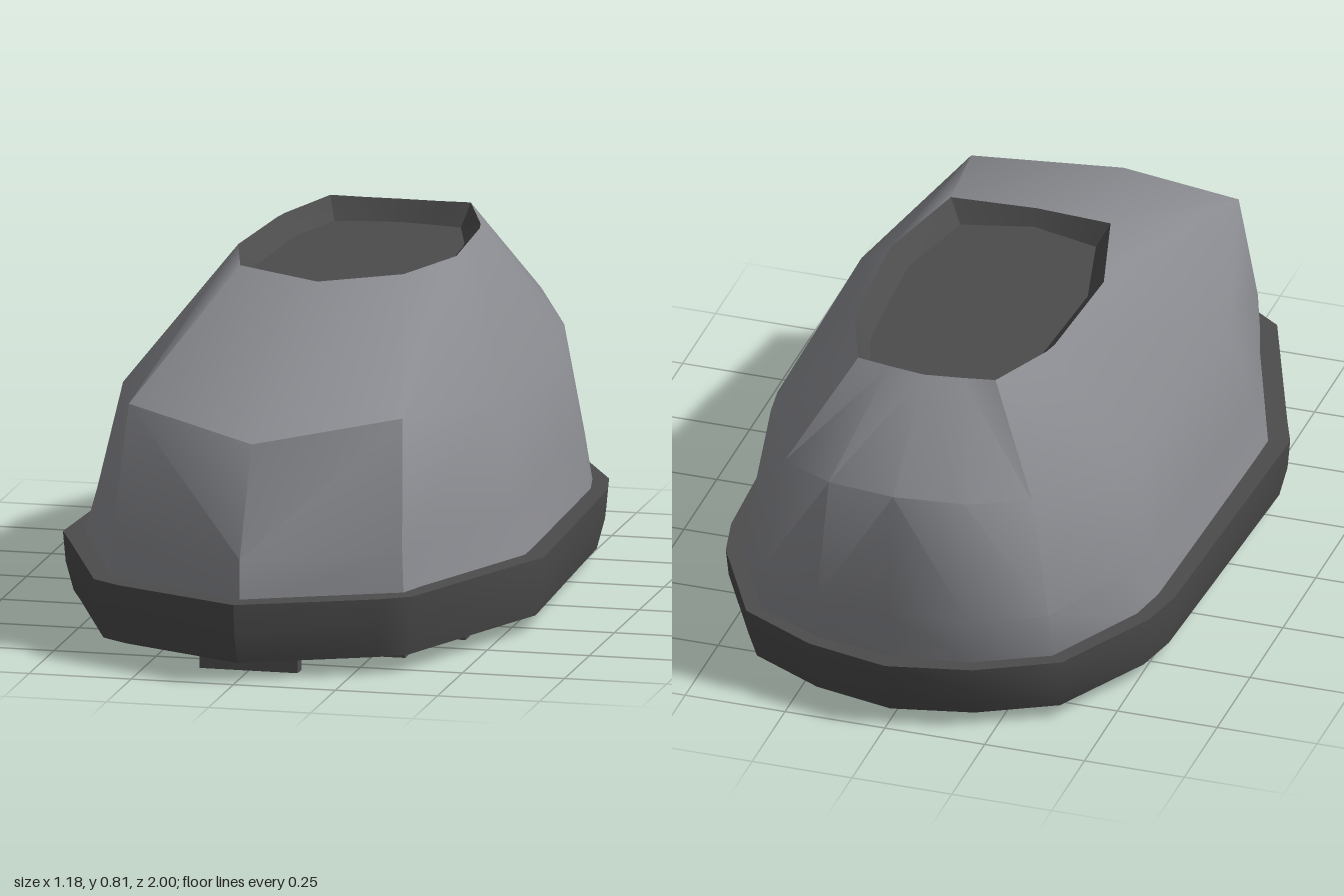
import * as THREE from 'three';
import { toCreasedNormals } from 'three/addons/utils/BufferGeometryUtils.js';

const mat = (color) => new THREE.MeshStandardMaterial({ color });

// Half outline from the toe (x = 0) to the heel (x = 0), mirrored to a closed ring.
function mirrorRing(half) {
  const other = half.slice(1, -1).reverse().map(([x, y, z]) => [-x, y, z]);
  return [...half, ...other];
}

// Skin between rings listed from the first to the last, with optional end caps.
function loft(halves, { capStart = false, capEnd = false, crease = 0.75 } = {}) {
  const rings = halves.map(mirrorRing);
  const n = rings[0].length;
  const pos = [];
  const tri = (a, b, c) => pos.push(...a, ...b, ...c);
  for (let r = 0; r < rings.length - 1; r++) {
    for (let i = 0; i < n; i++) {
      const j = (i + 1) % n;
      const [a, b, c, d] = [rings[r][i], rings[r][j], rings[r + 1][j], rings[r + 1][i]];
      // mirrored diagonals keep both sides alike
      if (i < n / 2) { tri(a, b, c); tri(a, c, d); }
      else { tri(a, b, d); tri(b, c, d); }
    }
  }
  const cap = (ring, up) => {
    const mid = [0, 1, 2].map((k) => ring.reduce((s, p) => s + p[k], 0) / n);
    for (let i = 0; i < n; i++) {
      const j = (i + 1) % n;
      if (up) tri(mid, ring[i], ring[j]);
      else tri(mid, ring[j], ring[i]);
    }
  };
  if (capStart) cap(rings[0], false);
  if (capEnd) cap(rings[rings.length - 1], true);
  const g = new THREE.BufferGeometry();
  g.setAttribute('position', new THREE.Float32BufferAttribute(pos, 3));
  return toCreasedNormals(g, crease);
}

export function createModel() {
  const group = new THREE.Group();
  const dark = mat(0x4c4c4c);
  const grey = mat(0x8a8b90);
  const add = (name, geometry, material) => {
    const mesh = new THREE.Mesh(geometry, material);
    mesh.name = name;
    group.add(mesh);
    return mesh;
  };

  // Sole: one outline scaled at several heights, rising slightly to the toe
  const outline = [
    [0, 1], [0.32, 0.85], [0.39, 0.8], [0.55, 0.39], [0.589, 0.295],
    [0.556, -0.48], [0.53, -0.6], [0.395, -0.855], [0.205, -0.955], [0, -1],
  ];
  const soleRing = (s, y, tilt) => outline.map(([x, z]) => [x * s, y + tilt * z, z * s]);
  add('sole', loft([
    soleRing(0.91, 0.05, 0.004),
    soleRing(0.925, 0.038, 0.006),
    soleRing(0.96, 0.038, 0.006),
    soleRing(0.99, 0.11, 0.008),
    soleRing(1, 0.182, 0.012),
    soleRing(0.9, 0.182, 0.012),
  ], { capStart: true, capEnd: true }), dark);

  // Upper: base, lower side, shoulder and collar rings
  const level = (y, pts) => pts.map(([x, z]) => [x, y, z]);
  const collar = [
    [0, 0.795, 0.155], [0.2, 0.814, 0.11], [0.267, 0.805, -0.145], [0.248, 0.802, -0.46],
    [0.24, 0.803, -0.5], [0.172, 0.811, -0.68], [0.09, 0.808, -0.69], [0, 0.806, -0.7],
  ];
  add('upper', loft([
    level(0.17, [[0, 0.94], [0.36, 0.765], [0.543, 0.28], [0.515, -0.48],
      [0.495, -0.58], [0.365, -0.83], [0.19, -0.92], [0, -0.95]]),
    level(0.29, [[0, 0.937], [0.355, 0.76], [0.511, 0.27], [0.495, -0.48],
      [0.475, -0.58], [0.36, -0.85], [0.19, -0.94], [0, -0.965]]),
    [[0, 0.545, 0.815], [0.335, 0.595, 0.675], [0.46, 0.54, 0.22], [0.45, 0.54, -0.45],
      [0.43, 0.555, -0.56], [0.31, 0.58, -0.82], [0.17, 0.595, -0.91], [0, 0.6, -0.938]],
    collar,
  ]), grey);

  // Shallow foot opening: sloped wall and flat floor
  const floor = level(0.755, [[0, 0.135], [0.17, 0.09], [0.225, -0.14], [0.207, -0.46],
    [0.2, -0.5], [0.155, -0.65], [0.08, -0.665], [0, -0.675]]);
  add('footOpening', loft([collar, floor], { capEnd: true, crease: 0.5 }), dark);

  // Tread bars across the underside
  const halfWidths = [0.12, 0.33, 0.425, 0.47, 0.47, 0.46, 0.43, 0.36];
  halfWidths.forEach((w, i) => {
    const bar = add('treadBar', new THREE.BoxGeometry(2 * w, 0.06, 0.04), dark);
    bar.position.set(0, 0.03, 0.826 - i * 0.2185);
  });
  return group;
}
